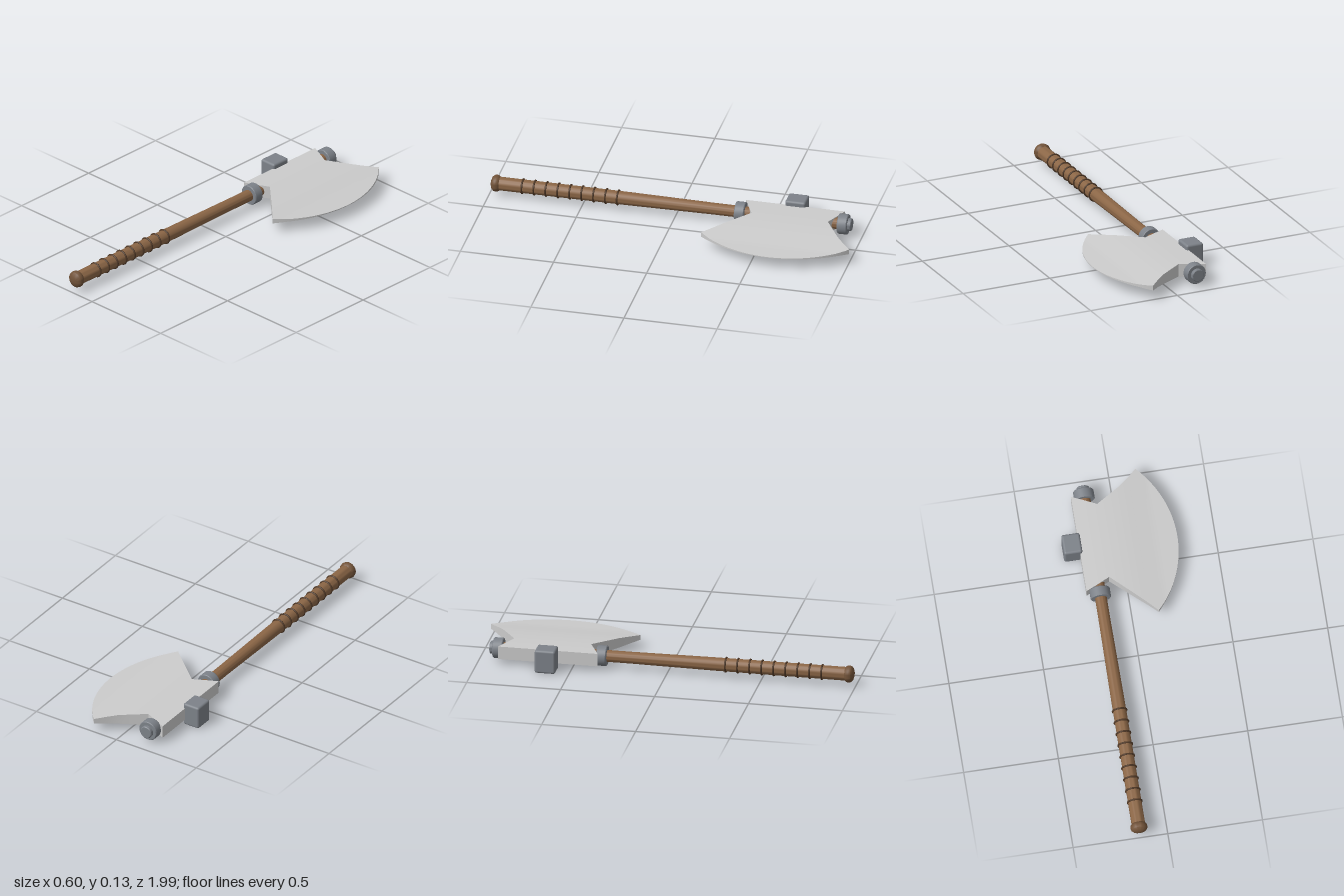
import * as THREE from 'three';
import { toCreasedNormals } from 'three/addons/utils/BufferGeometryUtils.js';
import { RoundedBoxGeometry } from 'three/addons/geometries/RoundedBoxGeometry.js';

const AXIS_X = -0.147, AXIS_Y = 0.065;

const steel = new THREE.MeshStandardMaterial({ color: 0xc4c4c8 });
const iron = new THREE.MeshStandardMaterial({ color: 0x7d8289 });
const wood = new THREE.MeshStandardMaterial({ color: 0x8b6646 });
const darkWood = new THREE.MeshStandardMaterial({ color: 0x73543a });
const cord = new THREE.MeshStandardMaterial({ color: 0x4f3826 });

// Turned part around the shaft axis, profile given as [radius, z]
function turned(name, profile, material) {
  const points = profile.map(([r, z]) => new THREE.Vector2(r, z));
  const geometry = new THREE.LatheGeometry(points, 32).rotateX(Math.PI / 2);
  const mesh = new THREE.Mesh(toCreasedNormals(geometry, 0.6), material);
  mesh.name = name;
  mesh.position.set(AXIS_X, AXIS_Y, 0);
  return mesh;
}

// Piecewise linear lookup in a table of rows [x, value, ...]
function lookup(table, x, column = 1) {
  let i = 0;
  while (i < table.length - 2 && x > table[i + 1][0]) i++;
  const a = table[i], b = table[i + 1];
  return THREE.MathUtils.lerp(a[column], b[column], (x - a[0]) / (b[0] - a[0]));
}

// Blade: a box grid bent to the outline, thinning towards the curved edge
function createBlade() {
  const outline = [ // x, back z, front z
    [-0.217, -0.89, -0.36], [-0.155, -0.862, -0.388], [-0.088, -0.83, -0.42],
    [-0.02, -0.873, -0.357], [0.045, -0.915, -0.297], [0.095, -0.957, -0.25], [0.14, -1, -0.205],
  ];
  const thickness = [ // x, half thickness
    [-0.217, 0.035], [-0.088, 0.035], [0.04, 0.027], [0.14, 0.0135],
    [0.19, 0.0075], [0.3, 0.002],
  ];
  const arcSteps = 6, rows = 40, tipX = 0.14;
  const last = outline.length - 1, columns = last + arcSteps;
  const radius = 0.574, centreX = 0.3 - radius, centreZ = -0.6025;

  const geometry = new THREE.BoxGeometry(1, 1, 1, columns, 1, rows);
  const p = geometry.attributes.position;
  for (let i = 0; i < p.count; i++) {
    const column = Math.round((p.getX(i) + 0.5) * columns);
    const t = p.getZ(i) + 0.5;
    const [baseX, zBack, zFront] = outline[Math.min(column, last)];
    const z = THREE.MathUtils.lerp(zBack, zFront, t);
    let x = baseX;
    if (column > last) {
      const arcX = centreX + Math.sqrt(radius ** 2 - (z - centreZ) ** 2);
      x += Math.max(0, arcX - tipX) * (column - last) / arcSteps;
    }
    p.setXYZ(i, x, AXIS_Y + Math.sign(p.getY(i)) * lookup(thickness, x), z);
  }
  const mesh = new THREE.Mesh(toCreasedNormals(geometry, 0.5), steel);
  mesh.name = 'blade';
  return mesh;
}

export function createModel() {
  const axe = new THREE.Group();
  axe.name = 'axe';

  // Shaft with its pommel and iron end cap
  axe.add(turned('shaft', [[0, -0.91], [0.031, -0.91], [0.031, -0.2], [0.035, 0.25], [0.036, 0.96], [0, 0.96]], wood));
  axe.add(turned('pommel', [[0, 0.945], [0.036, 0.945], [0.043, 0.953], [0.045, 0.965], [0.042, 0.977],
    [0.032, 0.986], [0.018, 0.991], [0, 0.993]], darkWood));
  axe.add(turned('endCap', [[0, -0.945], [0.03, -0.945], [0.034, -0.941], [0.034, -0.9], [0, -0.9]], iron));

  // Collars above and below the blade
  for (const z of [-0.9, -0.348]) {
    axe.add(turned('collar', [[0.03, z - 0.026], [0.051, z - 0.026], [0.054, z - 0.022],
      [0.054, z + 0.022], [0.051, z + 0.026], [0.03, z + 0.026]], iron));
  }

  // Grip rings
  const ringGeometry = new THREE.TorusGeometry(0.037, 0.005, 8, 32);
  for (let i = 0; i < 9; i++) {
    const ring = new THREE.Mesh(ringGeometry, cord);
    ring.name = 'gripRing';
    ring.position.set(AXIS_X, AXIS_Y, 0.31 + i * 0.064);
    axe.add(ring);
  }

  axe.add(createBlade());

  // Hammer block behind the blade
  const hammer = new THREE.Mesh(new RoundedBoxGeometry(0.097, 0.127, 0.11, 3, 0.012), iron);
  hammer.name = 'hammerBlock';
  hammer.position.set(-0.2535, 0.0635, -0.625);
  axe.add(hammer);

  return axe;
}
